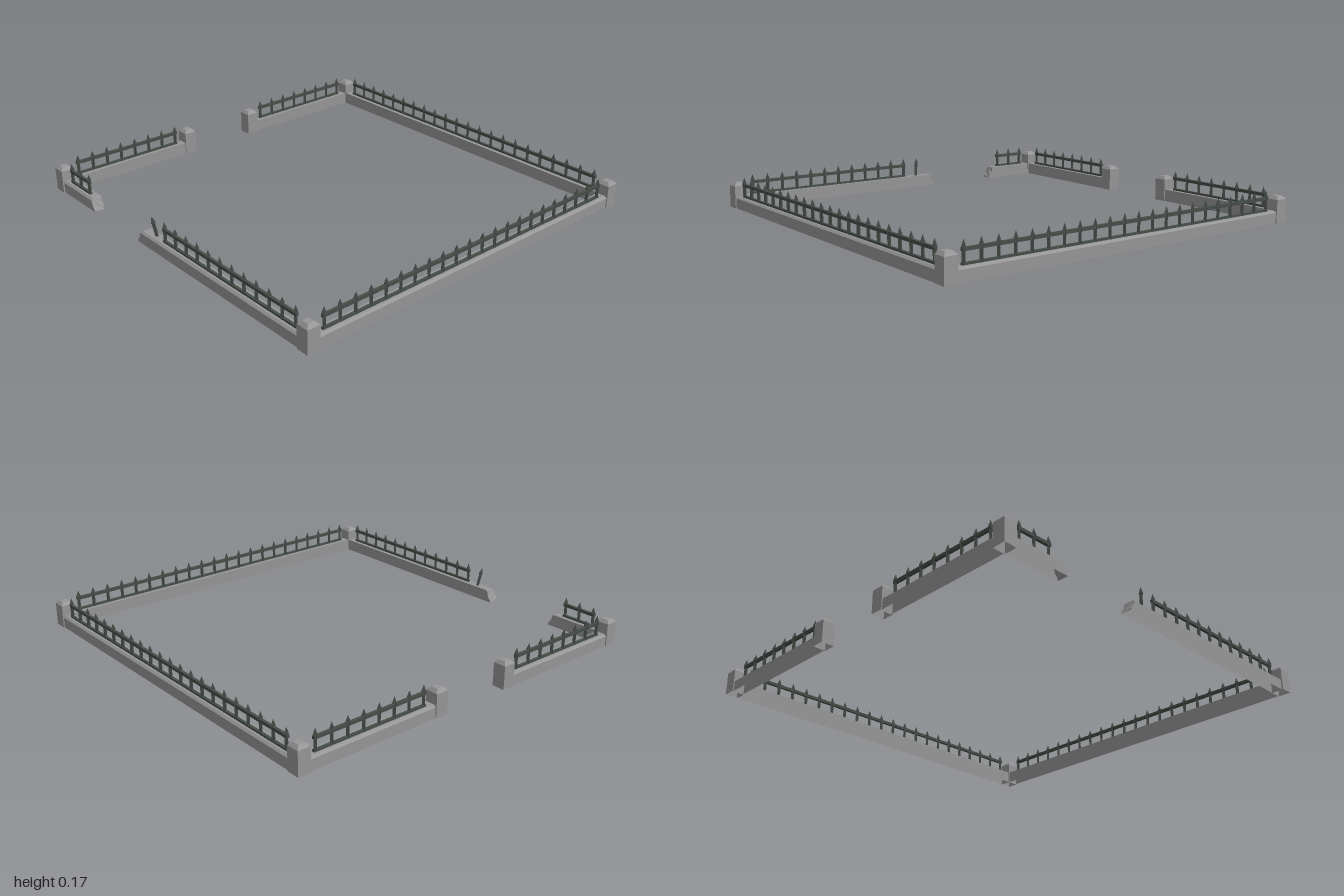
import * as THREE from 'three';

const stone = new THREE.MeshStandardMaterial({ color: 0x969696, flatShading: true, side: THREE.DoubleSide });
const iron = new THREE.MeshStandardMaterial({ color: 0x464e48, flatShading: true, side: THREE.DoubleSide });
const EDGE = 0.967;      // distance of the wall centre lines from the middle
const STEP = 0.0845;     // spacing of the fence bars
const WALL_TOP = 0.062;

function add(parent, name, geometry, material, x = 0, y = 0, z = 0) {
  const mesh = new THREE.Mesh(geometry, material);
  mesh.name = name;
  mesh.position.set(x, y, z);
  parent.add(mesh);
  return mesh;
}

// Masonry is hollow underneath: drop the triangles lying on the ground
function openBottom(source) {
  const p = source.attributes.position;
  const kept = [];
  for (let i = 0; i < p.count; i += 3) {
    const corners = [i, i + 1, i + 2];
    if (corners.every((k) => Math.abs(p.getY(k)) < 1e-4)) continue;
    for (const k of corners) kept.push(p.getX(k), p.getY(k), p.getZ(k));
  }
  const geometry = new THREE.BufferGeometry();
  geometry.setAttribute('position', new THREE.Float32BufferAttribute(kept, 3));
  geometry.computeVertexNormals();
  return geometry;
}

// Low wall along local x, chamfered on its outer side (outer = +1 or -1 in local z);
// breakA / breakB give a broken end's offset at a height
function wallGeometry(a, b, outer, breakA, breakB) {
  const outline = [
    [0.028, 0], [0.028, 0.012], [0.028, 0.03], [0.028, 0.053], [0.017, WALL_TOP],
    [-0.028, WALL_TOP], [-0.028, 0.053], [-0.028, 0.03], [-0.028, 0.012], [-0.028, 0],
  ];
  const shape = new THREE.Shape(outline.map(([z, y]) => new THREE.Vector2(-outer * z, y)));
  const geometry = new THREE.ExtrudeGeometry(shape, { depth: b - a, bevelEnabled: false });
  geometry.rotateY(Math.PI / 2);
  geometry.translate(a, 0, 0);
  const p = geometry.attributes.position;
  for (let i = 0; i < p.count; i++) {
    const x = p.getX(i), y = p.getY(i);
    if (breakA && Math.abs(x - a) < 1e-4) p.setX(i, x + breakA(y));
    if (breakB && Math.abs(x - b) < 1e-4) p.setX(i, x + breakB(y));
  }
  return openBottom(geometry);
}

// One diamond-section bar with a pointed head, standing on the wall
function makeBar() {
  const bar = new THREE.Group();
  bar.name = 'fenceBar';
  add(bar, 'barShaft', new THREE.CylinderGeometry(0.009, 0.009, 0.076, 4), iron, 0, 0.038, 0);
  add(bar, 'barSpike', new THREE.ConeGeometry(0.013, 0.033, 4), iron, 0, 0.0895, 0);
  return bar;
}

// Bars and two rails along local x, starting at bar position "from"
function addFence(parent, from, count) {
  const length = (count - 1) * STEP;
  for (let i = 0; i < count; i++) {
    const bar = makeBar();
    bar.position.set(from + i * STEP, WALL_TOP - 0.002, 0);
    parent.add(bar);
  }
  for (const [name, y] of [['upperRail', 0.125], ['lowerRail', 0.064]]) {
    add(parent, name, new THREE.BoxGeometry(length + 0.02, 0.015, 0.014), iron, from + length / 2, y, 0);
  }
}

// Square pillar with a low truncated pyramid cap
function addPillar(parent, name, x, z) {
  const pillar = new THREE.Group();
  pillar.name = name;
  pillar.position.set(x, 0, z);
  const block = new THREE.BoxGeometry(0.066, 0.116, 0.066).toNonIndexed();
  block.translate(0, 0.058, 0);
  add(pillar, 'pillarBlock', openBottom(block), stone);
  const cap = new THREE.CylinderGeometry(0.018 * Math.SQRT2, 0.033 * Math.SQRT2, 0.016, 4);
  cap.rotateY(Math.PI / 4);
  add(pillar, 'pillarCap', cap, stone, 0, 0.124, 0);
  parent.add(pillar);
}

function addSide(parent, name, x, z, turn) {
  const side = new THREE.Group();
  side.name = name;
  side.position.set(x, 0, z);
  side.rotation.y = turn;
  parent.add(side);
  return side;
}

// Jagged slope of a broken wall end
const jag = (y) => (y < 0.006 ? 0 : y < 0.02 ? 0.003 : y < 0.04 ? 0.018 : y < 0.055 ? 0.024 : 0.03);

export function createModel() {
  const model = new THREE.Group();
  model.name = 'fencedEnclosure';
  const first = -10.5 * STEP;

  // Complete back and left sides
  const back = addSide(model, 'backSide', 0, -EDGE, 0);
  const left = addSide(model, 'leftSide', EDGE, 0, Math.PI / 2);
  for (const [side, outer] of [[back, -1], [left, 1]]) {
    add(side, 'lowWall', wallGeometry(-0.94, 0.94, outer), stone);
    addFence(side, first, 22);
  }

  // Right side with a gateway in the middle
  const right = addSide(model, 'rightSide', -EDGE, 0, Math.PI / 2);
  add(right, 'lowWall', wallGeometry(-0.94, -0.24, -1), stone);
  add(right, 'lowWall', wallGeometry(0.24, 0.94, -1), stone);
  addFence(right, first, 8);
  addFence(right, -first - 7 * STEP, 8);

  // Front side with a collapsed stretch
  const front = addSide(model, 'frontSide', 0, EDGE - 0.002, 0);
  add(front, 'brokenWallShort', wallGeometry(-0.94, -0.635, 1, null, (y) => -jag(y)), stone);
  add(front, 'brokenWallLong', wallGeometry(-0.237, 0.94, 1, jag, null), stone);
  addFence(front, first, 3);
  addFence(front, first + 10 * STEP, 12);

  // Loose bar leaning beside the breach
  const loose = makeBar();
  loose.name = 'bentBar';
  loose.position.set(-0.12, WALL_TOP - 0.004, -0.006);
  loose.rotation.set(0.13, 0, 0.15);
  front.add(loose);

  // Corner and gate pillars
  for (const sz of [-1, 1]) {
    for (const sx of [-1, 1]) addPillar(model, 'cornerPillar', sx * EDGE, sz * EDGE);
    addPillar(model, 'gatePillar', -EDGE, sz * 0.215);
  }
  return model;
}
